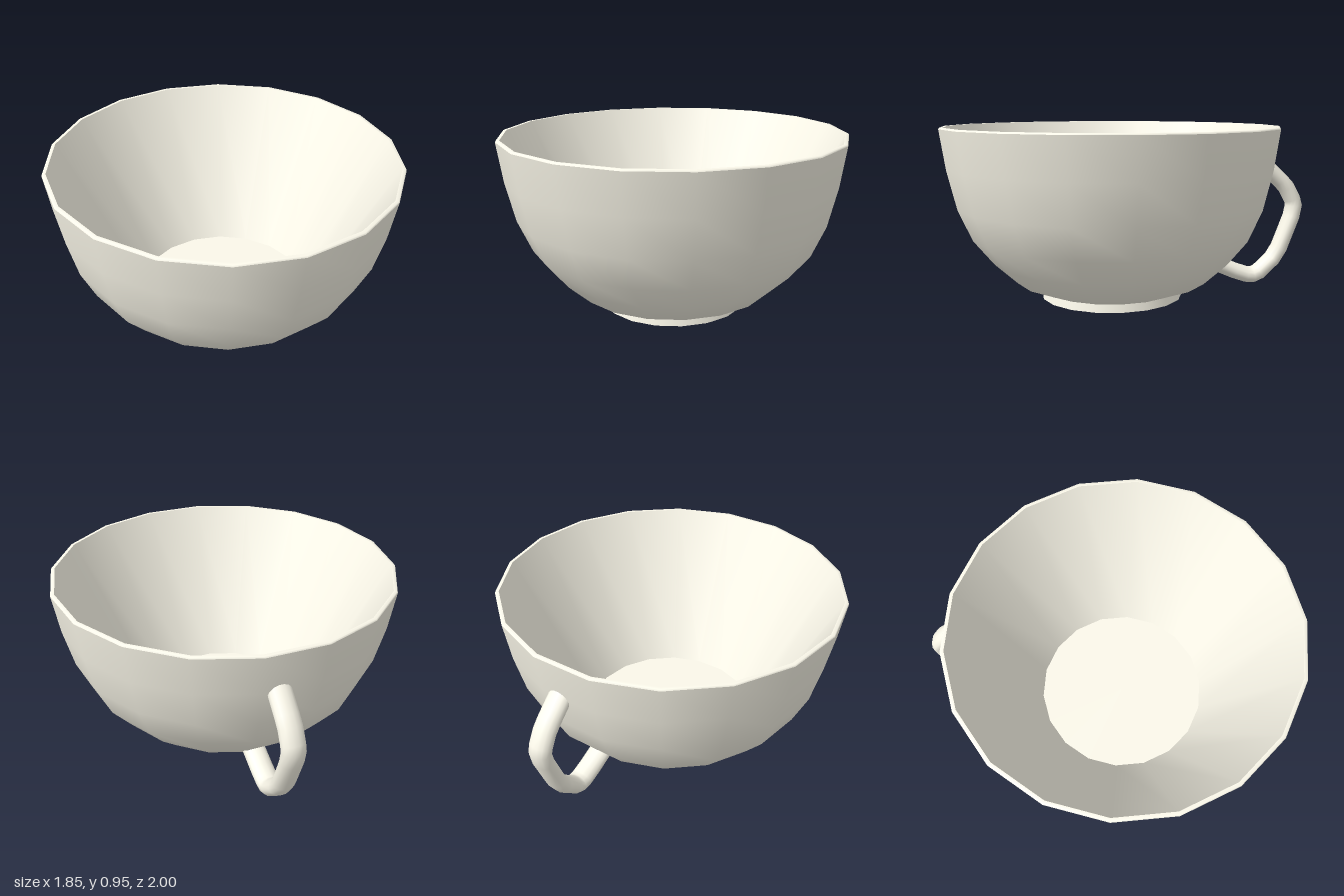
import * as THREE from 'three';

const SIDES = 18;
const CENTRE_Z = 0.088;
const HANDLE_X = 0.062;

// Outer wall profile as [radius, height]
const OUTER = [
  [0.385, 0.042], [0.535, 0.10], [0.66, 0.215], [0.77, 0.35],
  [0.845, 0.52], [0.895, 0.73], [0.926, 0.94],
];

// Radius of the outer wall at a given height
function wallRadius(y) {
  for (let i = 1; i < OUTER.length; i++) {
    const [r0, y0] = OUTER[i - 1], [r1, y1] = OUTER[i];
    if (y <= y1) return r0 + (r1 - r0) * (y - y0) / (y1 - y0);
  }
  return OUTER[OUTER.length - 1][0];
}

// Elliptical tube along a (z, y) path, its ends trimmed to the bowl wall
function handleGeometry(path, halfWidth, halfThick, sides) {
  const pts = path.map(([z, y]) => new THREE.Vector2(z, y));
  const positions = [], index = [];
  pts.forEach((p, i) => {
    const before = p.clone().sub(pts[Math.max(i - 1, 0)]).normalize();
    const after = pts[Math.min(i + 1, pts.length - 1)].clone().sub(p).normalize();
    const dir = before.clone().add(after).normalize();
    const mitre = 1 / Math.max(dir.dot(i ? before : after), 0.6);
    const isEnd = i === 0 || i === pts.length - 1;
    for (let j = 0; j < sides; j++) {
      const a = (j / sides) * Math.PI * 2;
      const n = Math.sin(a) * halfThick * mitre;
      let z = p.x - dir.y * n, y = p.y + dir.x * n;
      // slide end vertices along the tube until they sit inside the wall
      for (let k = 0; isEnd && k < 12; k++) {
        const target = CENTRE_Z - wallRadius(y) * Math.cos(Math.PI / SIDES) + 0.008;
        const step = (target - z) * 0.7;
        z += step;
        y += step * dir.y / dir.x;
      }
      positions.push(HANDLE_X + Math.cos(a) * halfWidth, y, z);
      if (i > 0) {
        const b = i * sides + j, c = i * sides + (j + 1) % sides;
        index.push(b - sides, b, c, b - sides, c, c - sides);
      }
    }
  });
  const geo = new THREE.BufferGeometry();
  geo.setAttribute('position', new THREE.Float32BufferAttribute(positions, 3));
  geo.setIndex(index);
  geo.computeVertexNormals();
  return geo;
}

export function createModel() {
  const model = new THREE.Group();
  model.name = 'cup';
  const material = new THREE.MeshStandardMaterial({ color: 0xfbf8ea, side: THREE.DoubleSide });

  const bowl = new THREE.Group();
  bowl.name = 'bowl';
  bowl.position.z = CENTRE_Z;
  model.add(bowl);

  // Each turned section is its own mesh, so edges between them stay sharp
  const turned = (name, profile) => {
    const points = profile.map(([r, y]) => new THREE.Vector2(r, y));
    const mesh = new THREE.Mesh(new THREE.LatheGeometry(points, SIDES, Math.PI / SIDES), material);
    mesh.name = name;
    bowl.add(mesh);
  };
  turned('footBase', [[0, 0], [0.395, 0]]);
  turned('footRing', [[0.395, 0], [0.385, 0.042]]);
  turned('outerWall', OUTER);
  turned('rim', [[0.926, 0.94], [0.922, 0.948], [0.905, 0.948]]);
  // The inside is a straight cone down to a flat floor
  turned('innerWall', [[0.905, 0.948], [0.478, 0.1]]);
  turned('innerFloor', [[0.478, 0.1], [0, 0.1]]);

  // Angular handle at the back
  const path = [
    [-0.785, 0.715], [-0.87, 0.638], [-0.908, 0.597], [-0.945, 0.53], [-0.955, 0.495],
    [-0.943, 0.43], [-0.875, 0.25], [-0.835, 0.185], [-0.755, 0.11], [-0.72, 0.095],
    [-0.68, 0.098], [-0.61, 0.122], [-0.51, 0.165],
  ];
  const handle = new THREE.Mesh(handleGeometry(path, 0.062, 0.045, 14), material);
  handle.name = 'handle';
  model.add(handle);
  return model;
}
